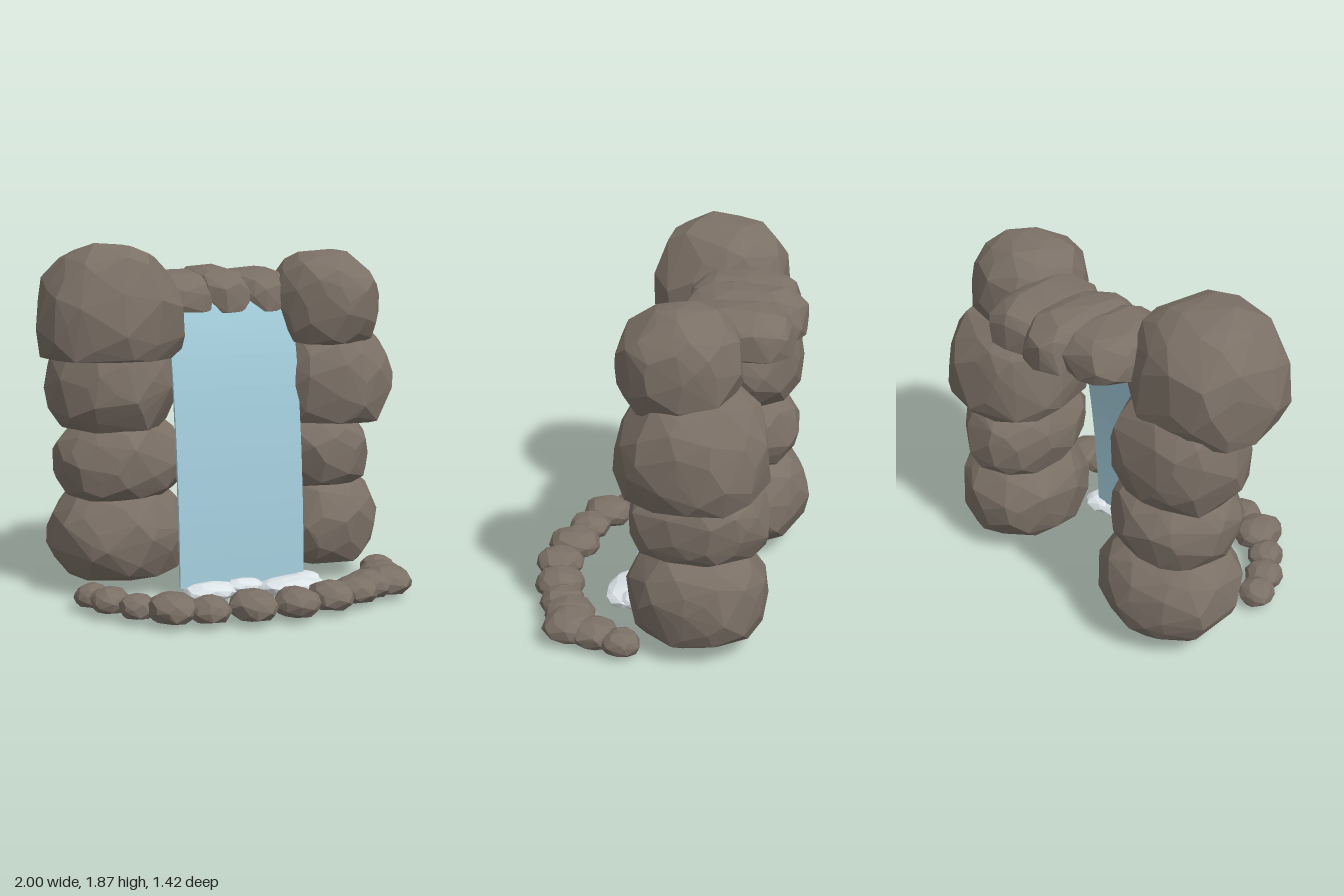
import * as THREE from 'three';
import { ConvexGeometry } from 'three/addons/geometries/ConvexGeometry.js';

const rock = new THREE.MeshStandardMaterial({ color: 0x7b7066, flatShading: true });
rock.name = 'rock';
const water = new THREE.MeshStandardMaterial({ color: 0xa5cfde });
water.name = 'water';
const foam = new THREE.MeshStandardMaterial({ color: 0xe4ecf0, flatShading: true });
foam.name = 'foam';

// Small seeded random generator
function seeded(seed) {
  let s = seed * 7919 + 17;
  return () => {
    s = (s * 16807) % 2147483647;
    return s / 2147483647;
  };
}

// Faceted stone filling the box min..max; cut (0..1) sets how high the flat underside sits
function stone(name, min, max, { seed = 1, points = 100, cut = 0.62, square = 0.9, material = rock } = {}) {
  const rand = seeded(seed);
  for (let i = 0; i < 5; i++) rand();
  const soften = (v) => Math.sign(v) * Math.abs(v) ** square;
  const cloud = [];
  for (let i = 0; i < points; i++) {
    const y = 1 - (2 * (i + 0.5)) / points;
    const a = i * 2.39996 + rand() * 0.5;
    const r = Math.sqrt(1 - y * y);
    const k = 0.95 + rand() * 0.09;
    const p = new THREE.Vector3(soften(Math.cos(a) * r), soften(y), soften(Math.sin(a) * r)).multiplyScalar(k);
    if (p.y < -cut) p.y = -cut - rand() * 0.03;
    cloud.push(p);
  }
  const box = new THREE.Box3().setFromPoints(cloud);
  const size = box.getSize(new THREE.Vector3());
  const lo = new THREE.Vector3(...min);
  const span = new THREE.Vector3(...max).sub(lo);
  cloud.forEach((p) => p.sub(box.min).divide(size).multiply(span).add(lo));
  const mesh = new THREE.Mesh(new ConvexGeometry(cloud), material);
  mesh.name = name;
  return mesh;
}

function group(name, ...children) {
  const g = new THREE.Group();
  g.name = name;
  g.add(...children);
  return g;
}

// Falling sheet of water: a thin curved profile extruded across the gap
function waterSheet() {
  const curve = new THREE.SplineCurve([
    [0.07, 0.1], [0.4, 0.085], [0.8, 0.05], [1.2, -0.01], [1.45, -0.075], [1.56, -0.12], [1.585, -0.17],
  ].map(([y, z]) => new THREE.Vector2(-z, y)));
  const front = curve.getPoints(24);
  const back = front.map((p, i) => {
    const t = curve.getTangent(i / 24);
    return new THREE.Vector2(p.x + t.y * 0.02, p.y - t.x * 0.02);
  }).reverse();
  const geo = new THREE.ExtrudeGeometry(new THREE.Shape([...front, ...back]), { depth: 0.7, bevelEnabled: false });
  geo.rotateY(Math.PI / 2).translate(-0.31, 0, 0);
  const mesh = new THREE.Mesh(geo, water);
  mesh.name = 'waterSheet';
  return mesh;
}

export function createModel() {
  // Stacked boulders either side of the fall
  const rightColumn = group('rightColumn',
    stone('baseBoulder', [-0.9, 0.09, -0.7], [-0.12, 0.62, 0.05], { seed: 3, square: 1 }),
    stone('lowerBoulder', [-0.87, 0.52, -0.63], [-0.18, 1, 0.03], { seed: 4, square: 1 }),
    stone('upperBoulder', [-0.92, 0.89, -0.62], [-0.2, 1.48, 0.04], { seed: 5, square: 0.95 }),
    stone('crownBoulder', [-1, 1.28, -0.53], [-0.23, 1.87, 0.21], { seed: 6, cut: 0.4, square: 0.86 }));
  const leftColumn = group('leftColumn',
    stone('baseBoulder', [0.3, 0.1, -0.63], [0.94, 0.62, 0.09], { seed: 7, square: 0.85 }),
    stone('lowerBoulder', [0.32, 0.53, -0.63], [0.87, 0.97, 0.08], { seed: 8 }),
    stone('upperBoulder', [0.29, 0.88, -0.63], [1, 1.45, 0.13], { seed: 9, cut: 0.45 }),
    stone('crownBoulder', [0.3, 1.31, -0.48], [0.9, 1.81, 0.14], { seed: 10, square: 0.92 }));

  // Broad flat-bottomed stones bridging the columns
  const slab = { points: 90, cut: 0.25, square: 0.7 };
  const lintel = group('lintel',
    stone('lintelStone', [-0.4, 1.5, -0.64], [0.03, 1.71, -0.06], { ...slab, seed: 11 }),
    stone('lintelStone', [-0.14, 1.49, -0.71], [0.21, 1.72, -0.07], { ...slab, seed: 12 }),
    stone('lintelStone', [0.06, 1.49, -0.68], [0.5, 1.71, -0.08], { ...slab, seed: 13 }));

  // Curved row of small stones around the pool: x, z, radius
  const rim = group('poolRim', ...[
    [-0.78, 0.08, 0.09], [-0.72, 0.21, 0.1], [-0.62, 0.35, 0.09], [-0.47, 0.465, 0.125], [-0.3, 0.53, 0.105],
    [-0.08, 0.56, 0.13], [0.14, 0.585, 0.12], [0.36, 0.525, 0.12], [0.53, 0.46, 0.11], [0.63, 0.39, 0.12],
    [0.75, 0.36, 0.13], [0.79, 0.22, 0.11], [0.84, 0.07, 0.09],
  ].map(([x, z, r], i) => {
    const top = 0.09 + r * 0.6;
    return stone('rimStone', [x - r, 0.03, z - r * 1.08], [x + r, top, z + r * 1.08], { seed: 20 + i, points: 46, square: 0.95 });
  }));

  // Splash where the water lands
  const splash = group('splash', ...[
    [-0.29, -0.01, 0.03, 0.21], [-0.07, 0.14, 0.05, 0.18], [0.1, 0.47, 0.04, 0.28], [0.3, 0.48, 0.02, 0.18],
  ].map(([x0, x1, z0, z1], i) =>
    stone('foamBlob', [x0, i % 2 ? 0.02 : 0, z0], [x1, 0.1, z1], { seed: 40 + i, points: 40, cut: 0.9, square: 1, material: foam })));

  return group('rockWaterfall', rightColumn, leftColumn, lintel, waterSheet(), rim, splash);
}
